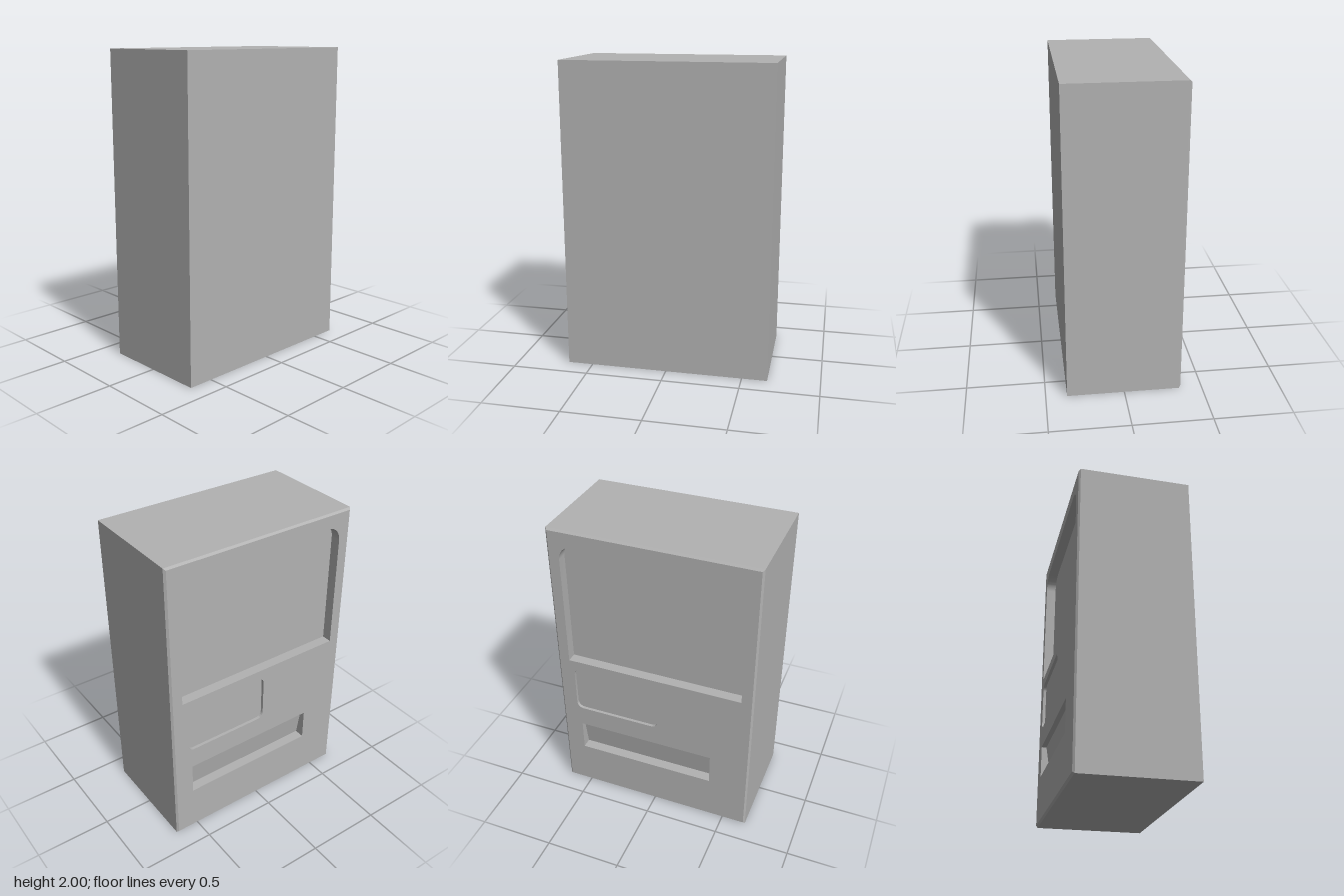
import * as THREE from 'three';
import { toCreasedNormals } from 'three/addons/utils/BufferGeometryUtils.js';

const W = 0.664;        // half width
const H = 2;            // height
const D = 0.365;        // half depth
const RECESS = 0.067;   // thickness of the panel, depth of its openings
const CHAMFER = 0.012;

// Rectangle with its own radius for the top and the bottom corners
function roundedRect(target, x0, y0, x1, y1, rTop, rBottom) {
  target.moveTo(x0 + rBottom, y0);
  target.lineTo(x1 - rBottom, y0);
  if (rBottom) target.absarc(x1 - rBottom, y0 + rBottom, rBottom, -Math.PI / 2, 0);
  target.lineTo(x1, y1 - rTop);
  if (rTop) target.absarc(x1 - rTop, y1 - rTop, rTop, 0, Math.PI / 2);
  target.lineTo(x0 + rTop, y1);
  if (rTop) target.absarc(x0 + rTop, y1 - rTop, rTop, Math.PI / 2, Math.PI);
  target.lineTo(x0, y0 + rBottom);
  if (rBottom) target.absarc(x0 + rBottom, y0 + rBottom, rBottom, Math.PI, Math.PI * 1.5);
  return target;
}

export function createModel() {
  const grey = new THREE.MeshStandardMaterial({ color: 0xb2b2b2 });
  grey.name = 'grey';

  // The panelled side is built towards +z, then turned to face -z
  const cabinet = new THREE.Group();
  cabinet.name = 'cabinet';
  cabinet.rotation.y = Math.PI;

  const add = (name, geometry, x = 0, y = 0, z = 0) => {
    const mesh = new THREE.Mesh(geometry, grey);
    mesh.name = name;
    mesh.position.set(x, y, z);
    cabinet.add(mesh);
  };

  // Body: its +z face is the floor of the large window
  const seat = D - RECESS;
  add('body', new THREE.BoxGeometry(2 * W, H, D + seat), 0, H / 2, (seat - D) / 2);

  // Panel with three openings
  const outline = roundedRect(new THREE.Shape(), -W, 0, W, H, 0, 0);
  const keypad = [-0.555, 0.672, 0.03, 0.998, 0.045, 0.045];
  const slot = { x0: -0.53, x1: 0.398, y0: 0.318, y1: 0.53 };
  outline.holes.push(
    roundedRect(new THREE.Path(), -0.585, 1.06, 0.585, 1.905, 0.1, 0),
    roundedRect(new THREE.Path(), ...keypad),
    roundedRect(new THREE.Path(), slot.x0, slot.y0, slot.x1, slot.y1, 0, 0),
  );
  const panel = new THREE.ExtrudeGeometry(outline, {
    depth: RECESS, steps: 2, bevelEnabled: false, curveSegments: 8,
  });

  // Chamfer: raise the middle ring and pull the outer front edge inwards
  const p = panel.attributes.position;
  for (let i = 0; i < p.count; i++) {
    const x = p.getX(i), y = p.getY(i), z = p.getZ(i);
    if (z > RECESS * 0.9) {
      if (Math.abs(x) > W - 1e-4) p.setX(i, Math.sign(x) * (W - CHAMFER));
      if (y < 1e-4) p.setY(i, CHAMFER);
      if (y > H - 1e-4) p.setY(i, H - CHAMFER);
    } else if (z > RECESS * 0.1) {
      p.setZ(i, RECESS - CHAMFER);
    }
  }
  add('panel', toCreasedNormals(panel, 0.5), 0, 0, seat);

  // Shallow floor of the keypad recess
  add('keypadFloor', new THREE.ExtrudeGeometry(
    roundedRect(new THREE.Shape(), ...keypad),
    { depth: RECESS - 0.02, bevelEnabled: false, curveSegments: 8 },
  ), 0, 0, seat);

  // Sloping back of the delivery slot: a wedge, thick at the top
  const wedge = new THREE.Shape([
    new THREE.Vector2(0, slot.y0),
    new THREE.Vector2(0, slot.y1),
    new THREE.Vector2(-0.034, slot.y1),
  ]);
  const slope = new THREE.ExtrudeGeometry(wedge, { depth: slot.x1 - slot.x0, bevelEnabled: false });
  slope.rotateY(Math.PI / 2);
  add('slotBack', slope, slot.x0, 0, seat);

  const model = new THREE.Group();
  model.name = 'vendingMachine';
  model.add(cabinet);
  return model;
}
